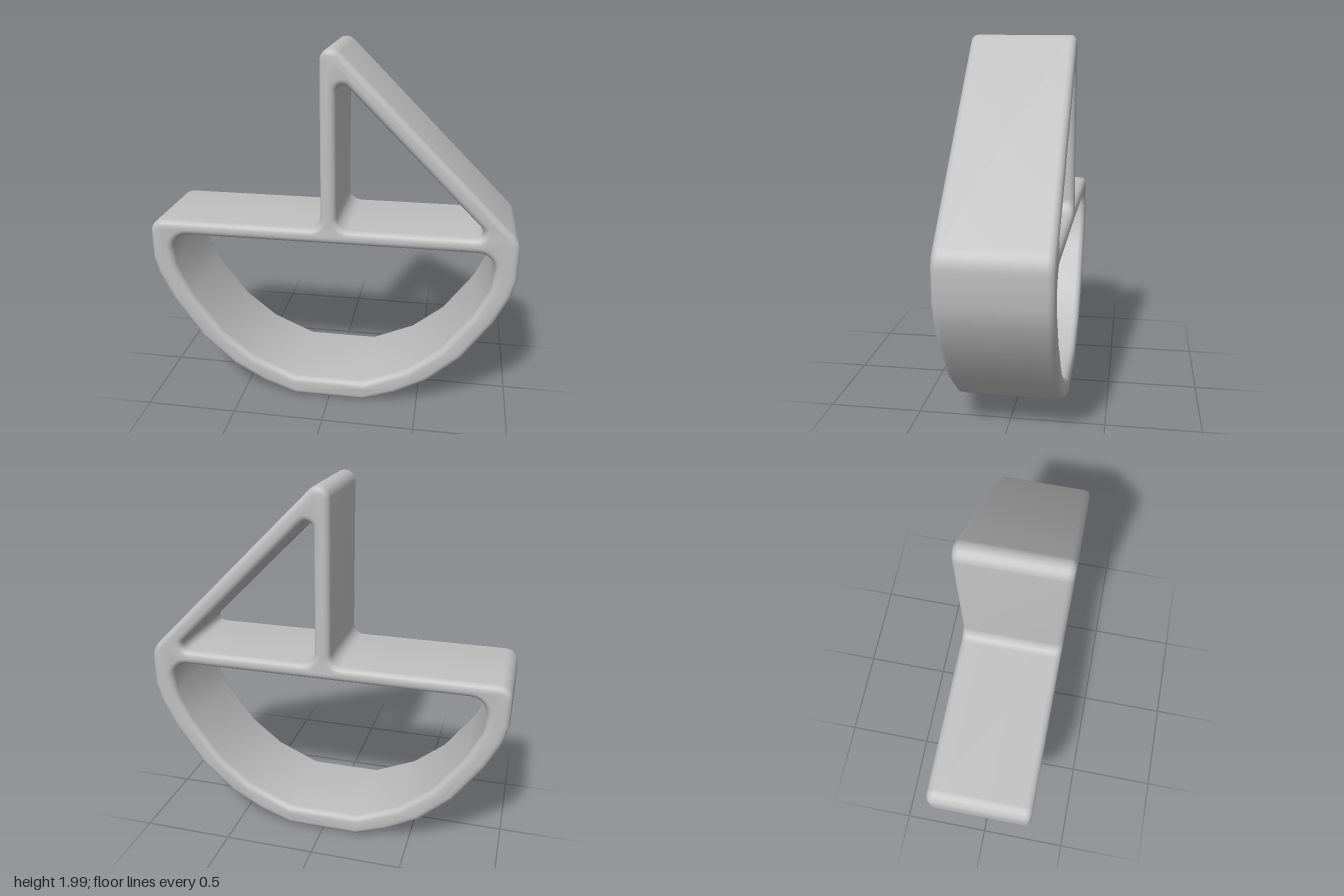
import * as THREE from 'three';
import { toCreasedNormals } from 'three/addons/utils/BufferGeometryUtils.js';

// Outline from corners [x, y, radius]; corners with a radius become true arcs.
function rounded(corners, steps = 6) {
  const out = [];
  corners.forEach(([x, y, r], i) => {
    const p = new THREE.Vector2(x, y);
    if (!r) { out.push(p); return; }
    const n = corners.length;
    const before = corners[(i + n - 1) % n], after = corners[(i + 1) % n];
    const a = new THREE.Vector2(before[0] - x, before[1] - y).normalize();
    const b = new THREE.Vector2(after[0] - x, after[1] - y).normalize();
    const half = Math.acos(a.dot(b)) / 2;
    const reach = r / Math.tan(half);
    const centre = a.clone().add(b).normalize().multiplyScalar(r / Math.sin(half)).add(p);
    const from = a.multiplyScalar(reach).add(p).sub(centre);
    const to = b.multiplyScalar(reach).add(p).sub(centre);
    const turn = Math.atan2(from.cross(to), from.dot(to));
    for (let k = 0; k <= steps; k++) {
      out.push(from.clone().rotateAround(new THREE.Vector2(), turn * k / steps).add(centre));
    }
  });
  return out;
}

const mirror = (points) => points.map(([x, y, r]) => [-x, y, r]).reverse();

export function createModel() {
  const group = new THREE.Group();
  group.name = 'sailboatFrame';
  const grey = new THREE.MeshStandardMaterial({ color: 0xbfbfbf });
  grey.name = 'grey';

  // Right halves of the hull curves, from the bottom up
  const hullOuter = [[0.2, 0.005], [0.38, 0.07], [0.56, 0.17], [0.74, 0.335], [0.9, 0.565], [0.975, 0.72], [1, 0.82]];
  const hullInner = [[0.2, 0.12], [0.44, 0.225], [0.62, 0.37], [0.79, 0.6], [0.87, 0.77], [0.89, 0.96, 0.09]];

  // Outer edge: hull, sail slope, mast and deck
  const outline = new THREE.Shape(rounded([
    ...hullOuter,
    [1, 1.032, 0.14],
    [-0.045, 2.075, 0.06],
    [-0.045, 1.04, 0.06],
    [-1, 1.04, 0.07],
    ...mirror(hullOuter),
  ]));

  // Openings inside the hull and the sail
  outline.holes.push(
    new THREE.Path(rounded([...hullInner, ...mirror(hullInner)])),
    new THREE.Path(rounded([[0.04, 1.04, 0.07], [0.86, 1.04, 0.035], [0.04, 1.86, 0.035]])),
  );

  // Thick band with rounded rims
  const rim = 0.035, depth = 0.566;
  const geometry = new THREE.ExtrudeGeometry(outline, {
    depth: depth - 2 * rim,
    bevelEnabled: true,
    bevelThickness: rim,
    bevelSize: rim,
    bevelOffset: -rim,
    bevelSegments: 5,
  });
  geometry.translate(0, 0, rim - depth / 2);

  const frame = new THREE.Mesh(toCreasedNormals(geometry, 0.8), grey);
  frame.name = 'hullDeckMastAndSail';
  group.add(frame);
  return group;
}
